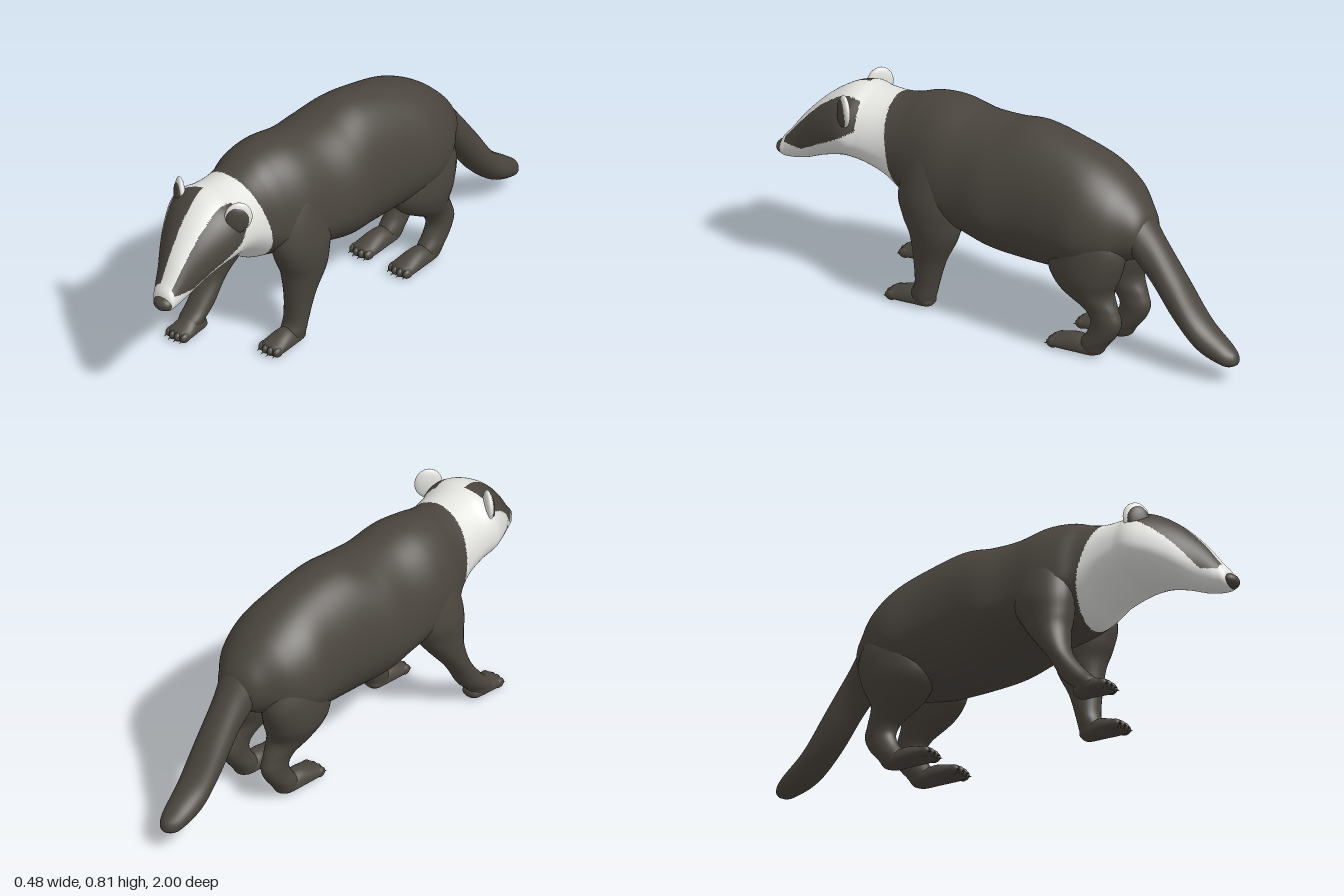
import * as THREE from 'three';

const dark = new THREE.MeshStandardMaterial({ color: 0x4a453e });
dark.name = 'dark fur';
const white = new THREE.MeshStandardMaterial({ color: 0xe4e4e1 });
white.name = 'white fur';

// Smooth blend through the rows of numbers
function spline(rows, sub) {
  const out = [];
  const n = rows.length - 1;
  for (let s = 0; s <= n * sub; s++) {
    const i = Math.min(Math.floor(s / sub), n - 1), t = s / sub - i;
    const p = [rows[Math.max(i - 1, 0)], rows[i], rows[i + 1], rows[Math.min(i + 2, n)]];
    out.push(p[1].map((b, k) => {
      const a = p[0][k], c = p[2][k], d = p[3][k];
      return b + 0.5 * t * (c - a + t * (2 * a - 5 * b + 4 * c - d + t * (3 * (b - c) + d - a)));
    }));
  }
  return out;
}

// Loft of egg-shaped rings. Row: [t, centre x, half width, high, middle, low].
// Along z the height is y (t rising); along y the height is z (t falling).
// The pinch rule narrows the lower half of each ring.
function loft(name, rows, { axis = 'z', sub = 6, seg = 28, isWhite = null, pinch = () => 0 } = {}) {
  const rings = spline(rows, sub), pos = [];
  for (const [t, cx, w, hi, mid, lo] of rings) {
    for (let j = 0; j < seg; j++) {
      const a = (j / seg) * Math.PI * 2, c = Math.cos(a);
      const x = cx + Math.max(w, 0) * Math.sin(a) * (c < 0 ? 1 - pinch(t) * c * c : 1);
      const h = mid + c * (c > 0 ? hi - mid : mid - lo);
      if (axis === 'z') pos.push(x, h, t);
      else pos.push(x, t, h);
    }
  }
  const parts = [[], []];
  for (let i = 0; i < rings.length - 1; i++) {
    for (let j = 0; j < seg; j++) {
      const k = (j + 1) % seg;
      const a = i * seg + j, b = a + seg, c = i * seg + k, d = c + seg;
      for (const tri of [[a, b, c], [c, b, d]]) {
        const mid = [0, 1, 2].map(q => tri.reduce((sum, v) => sum + pos[v * 3 + q], 0) / 3);
        parts[isWhite && isWhite(...mid) ? 1 : 0].push(...tri);
      }
    }
  }
  const geo = new THREE.BufferGeometry();
  geo.setAttribute('position', new THREE.Float32BufferAttribute(pos, 3));
  geo.setIndex(parts[0].concat(parts[1]));
  geo.computeVertexNormals();
  if (isWhite) {
    geo.addGroup(0, parts[0].length, 0);
    geo.addGroup(parts[0].length, parts[1].length, 1);
  }
  const mesh = new THREE.Mesh(geo, isWhite ? [dark, white] : dark);
  mesh.name = name;
  return mesh;
}

function ball(name, mat, [x, y, z], [rx, ry, rz]) {
  const mesh = new THREE.Mesh(new THREE.SphereGeometry(1, 24, 16), mat);
  mesh.name = name;
  mesh.position.set(x, y, z);
  mesh.scale.set(rx, ry, rz);
  return mesh;
}

// White neck and head with two dark bands running from the ears to the muzzle
function isWhite(x, y, z) {
  if (z < 0.43 + (y - 0.4) * 0.25) return false;
  const centre = 0.052 + (z - 0.68) * 0.1, half = 0.054 - (z - 0.68) * 0.1;
  const aboveCheek = x < centre
    ? y > 0.485 && x > -0.017 - (y - 0.49) * 0.52
    : y > Math.max(0.63 - (z - 0.62) * 0.6, 0.485);
  const start = 0.645 - 0.25 * (x - 0.02);
  return !(z > start && z < 0.95 && aboveCheek && Math.abs(x - centre) > half);
}

// Paw with its toes and claws, toe tips at z
function paw(name, x, z, length) {
  const g = new THREE.Group();
  g.name = name;
  g.add(loft('sole', [
    [-length, 0, 0, 0.03, 0.03, 0.03],
    [-length + 0.015, 0, 0.034, 0.055, 0.025, 0.006],
    [-length * 0.6, 0, 0.045, 0.074, 0.025, 0.002],
    [-0.06, 0, 0.05, 0.055, 0.022, 0.001],
    [-0.03, 0, 0.045, 0.043, 0.02, 0.003],
    [-0.02, 0, 0, 0.02, 0.02, 0.02],
  ]));
  for (let i = 0; i < 4; i++) {
    const u = i - 1.5, tip = -0.032 - Math.abs(u) * 0.007;
    g.add(ball('toe', dark, [u * 0.024, 0.022, tip], [0.014, 0.019, 0.024]));
    const claw = new THREE.Mesh(new THREE.ConeGeometry(0.007, 0.03, 8), dark);
    claw.name = 'claw';
    claw.rotation.x = Math.PI / 2 + 0.35;
    claw.position.set(u * 0.025, 0.017, tip + 0.021);
    g.add(claw);
  }
  g.position.set(x, 0, z);
  return g;
}

export function createModel() {
  const model = new THREE.Group();
  model.name = 'badger';

  // Trunk, neck and head in one skin
  model.add(loft('body', [
    [-0.625, 0.04, 0, 0.5, 0.5, 0.5],
    [-0.6, 0.037, 0.075, 0.575, 0.5, 0.42],
    [-0.55, 0.033, 0.122, 0.635, 0.5, 0.39],
    [-0.48, 0.027, 0.178, 0.695, 0.49, 0.36],
    [-0.38, 0.023, 0.213, 0.75, 0.48, 0.3],
    [-0.25, 0.02, 0.209, 0.79, 0.49, 0.28],
    [-0.1, 0.012, 0.213, 0.81, 0.5, 0.27],
    [0.03, 0.006, 0.23, 0.788, 0.49, 0.28],
    [0.15, 0, 0.22, 0.785, 0.48, 0.31],
    [0.28, -0.008, 0.217, 0.8, 0.5, 0.34],
    [0.38, -0.012, 0.198, 0.79, 0.51, 0.355],
    [0.45, -0.005, 0.172, 0.768, 0.54, 0.37],
    [0.52, 0, 0.16, 0.754, 0.57, 0.415],
    [0.6, 0.007, 0.164, 0.755, 0.59, 0.45],
    [0.66, 0.013, 0.175, 0.763, 0.6, 0.465],
    [0.72, 0.023, 0.158, 0.747, 0.585, 0.465],
    [0.8, 0.037, 0.122, 0.692, 0.55, 0.448],
    [0.88, 0.055, 0.081, 0.61, 0.5, 0.42],
    [0.94, 0.07, 0.057, 0.53, 0.465, 0.412],
    [0.97, 0.078, 0.042, 0.492, 0.45, 0.42],
    [0.98, 0.08, 0, 0.45, 0.45, 0.45],
  ], {
    sub: 12, seg: 128, isWhite,
    pinch: z => 0.3 * THREE.MathUtils.smoothstep(z, 0.25, 0.42) * (1 - THREE.MathUtils.smoothstep(z, 0.7, 0.9)),
  }));

  // Tail
  model.add(loft('tail', [
    [-1, 0.04, 0, 0.09, 0.09, 0.09],
    [-0.99, 0.04, 0.025, 0.117, 0.09, 0.073],
    [-0.95, 0.04, 0.05, 0.15, 0.105, 0.066],
    [-0.85, 0.04, 0.067, 0.23, 0.165, 0.1],
    [-0.75, 0.04, 0.07, 0.37, 0.28, 0.185],
    [-0.65, 0.04, 0.07, 0.505, 0.41, 0.31],
    [-0.57, 0.04, 0.085, 0.6, 0.5, 0.4],
    [-0.5, 0.04, 0.07, 0.63, 0.52, 0.42],
    [-0.42, 0.04, 0, 0.53, 0.53, 0.53],
  ]));

  // Front legs with shoulders sunk into the trunk, the right one stepping forward
  model.add(loft('rightFrontLeg', [
    [0.73, -0.09, 0, 0.31, 0.31, 0.31],
    [0.65, -0.115, 0.066, 0.38, 0.31, 0.22],
    [0.56, -0.138, 0.08, 0.415, 0.31, 0.18],
    [0.45, -0.156, 0.087, 0.43, 0.32, 0.18],
    [0.37, -0.158, 0.083, 0.425, 0.34, 0.22],
    [0.3, -0.167, 0.072, 0.42, 0.35, 0.27],
    [0.2, -0.184, 0.054, 0.445, 0.4, 0.35],
    [0.1, -0.185, 0.049, 0.52, 0.47, 0.41],
    [0.05, -0.185, 0.046, 0.57, 0.52, 0.46],
    [0.015, -0.185, 0.035, 0.56, 0.52, 0.48],
    [0.01, -0.185, 0, 0.52, 0.52, 0.52],
  ], { axis: 'y' }));
  model.add(loft('leftFrontLeg', [
    [0.73, 0.08, 0, 0.28, 0.28, 0.28],
    [0.65, 0.105, 0.066, 0.36, 0.28, 0.2],
    [0.56, 0.128, 0.08, 0.4, 0.28, 0.17],
    [0.45, 0.142, 0.088, 0.42, 0.28, 0.155],
    [0.37, 0.143, 0.086, 0.4, 0.28, 0.16],
    [0.3, 0.143, 0.075, 0.37, 0.27, 0.175],
    [0.2, 0.142, 0.056, 0.355, 0.29, 0.225],
    [0.1, 0.138, 0.049, 0.35, 0.305, 0.258],
    [0.05, 0.138, 0.046, 0.37, 0.32, 0.27],
    [0.015, 0.138, 0.035, 0.36, 0.32, 0.285],
    [0.01, 0.138, 0, 0.32, 0.32, 0.32],
  ], { axis: 'y' }));
  model.add(paw('rightFrontPaw', -0.18, 0.64, 0.18), paw('leftFrontPaw', 0.137, 0.485, 0.21));

  // Hind legs: thigh and foot centres differ on each side
  for (const [side, thigh, foot] of [['right', -0.082, -0.055], ['left', 0.125, 0.135]]) {
    const mix = t => thigh + (foot - thigh) * t;
    model.add(loft(side + 'HindLeg', [
      [0.66, mix(0), 0, -0.4, -0.4, -0.4],
      [0.58, mix(0), 0.065, -0.32, -0.4, -0.48],
      [0.5, mix(0), 0.085, -0.27, -0.4, -0.525],
      [0.42, mix(0), 0.1, -0.24, -0.4, -0.55],
      [0.33, mix(0.2), 0.1, -0.235, -0.4, -0.53],
      [0.26, mix(0.6), 0.078, -0.285, -0.41, -0.505],
      [0.2, mix(0.9), 0.051, -0.385, -0.455, -0.53],
      [0.15, mix(1), 0.044, -0.42, -0.48, -0.545],
      [0.1, mix(1), 0.043, -0.405, -0.465, -0.525],
      [0.05, mix(1), 0.043, -0.37, -0.43, -0.485],
      [0.015, mix(1), 0.033, -0.37, -0.42, -0.46],
      [0.01, mix(1), 0, -0.42, -0.42, -0.42],
    ], { axis: 'y' }));
    model.add(paw(side + 'HindPaw', foot, -0.225, 0.23));
  }

  // Ears: pale shell with a dark hollow set towards its inner edge
  for (const [name, x, y, z, turn, inner] of [
    ['rightEar', -0.1, 0.712, 0.675, -0.65, 0.005], ['leftEar', 0.166, 0.708, 0.652, 0.85, -0.005]]) {
    const ear = new THREE.Group();
    ear.name = name;
    ear.add(ball('earShell', white, [0, 0, 0], [0.052, 0.062, 0.017]));
    ear.add(ball('earHollow', dark, [inner, -0.009, 0.009], [0.044, 0.054, 0.015]));
    ear.position.set(x, y, z);
    ear.rotation.y = turn;
    model.add(ear);
  }

  // Nose and eyes
  model.add(ball('nose', dark, [0.082, 0.45, 0.967], [0.041, 0.028, 0.033]));
  model.add(ball('rightEye', dark, [-0.035, 0.592, 0.803], [0.012, 0.011, 0.011]));
  model.add(ball('leftEye', dark, [0.124, 0.592, 0.803], [0.012, 0.011, 0.011]));
  return model;
}
